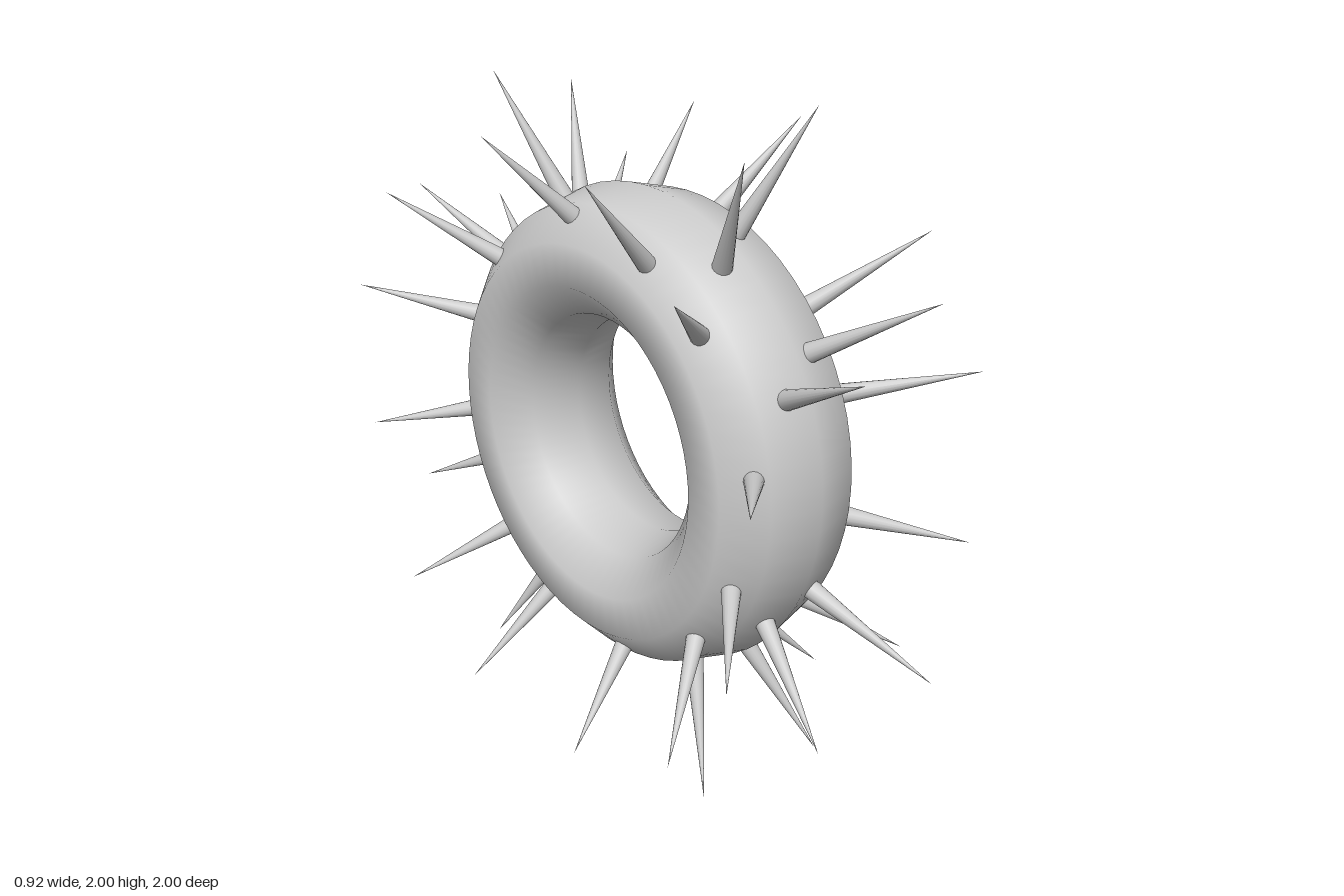
import * as THREE from 'three';

// One set of spikes: base and tip (x, y, z) measured from the ring's centre
const SPIKES = [
  [[0.175, 0.645, 0.107], [0.425, 0.893, 0.176]],
  [[0.19, 0.588, -0.235], [0.455, 0.86, -0.316]],
  [[0.19, 0.446, 0.45], [0.46, 0.655, 0.645]],
  [[0.065, 0.65, 0.305], [0.175, 1.0, 0.48]],
  [[0.065, 0.6, -0.39], [0.18, 0.925, -0.583]],
];

const UP = new THREE.Vector3(0, 1, 0);

function createSpike(base, tip, material) {
  const start = new THREE.Vector3(...base);
  const end = new THREE.Vector3(...tip);
  const dir = end.clone().sub(start).normalize();
  start.addScaledVector(dir, -0.015); // sink the base into the ring
  const length = start.distanceTo(end);
  const geometry = new THREE.ConeGeometry(0.029, length, 16);
  geometry.translate(0, length / 2, 0);
  const spike = new THREE.Mesh(geometry, material);
  spike.name = 'spike';
  spike.position.copy(start);
  spike.quaternion.setFromUnitVectors(UP, dir);
  return spike;
}

export function createModel() {
  const model = new THREE.Group();
  model.name = 'spikedRing';
  const material = new THREE.MeshStandardMaterial({ color: 0xcccccc });

  // Ring: oval-section torus with its axis along x
  const ringGeometry = new THREE.TorusGeometry(0.53, 0.197, 10, 64);
  ringGeometry.scale(1, 1, 1.3);
  ringGeometry.rotateY(Math.PI / 2);
  const ring = new THREE.Mesh(ringGeometry, material);
  ring.name = 'ring';
  ring.position.y = 1;
  model.add(ring);

  // Spikes: the same set on each quarter turn and on both sides
  for (let quarter = 0; quarter < 4; quarter++) {
    const turn = new THREE.Group();
    turn.name = 'spikeQuarter';
    turn.position.y = 1;
    turn.rotation.x = (quarter * Math.PI) / 2;
    for (const side of [0, 1]) {
      const half = new THREE.Group();
      half.name = side === 0 ? 'leftSpikes' : 'rightSpikes';
      half.rotation.y = side * Math.PI;
      for (const [base, tip] of SPIKES) half.add(createSpike(base, tip, material));
      turn.add(half);
    }
    model.add(turn);
  }
  return model;
}
